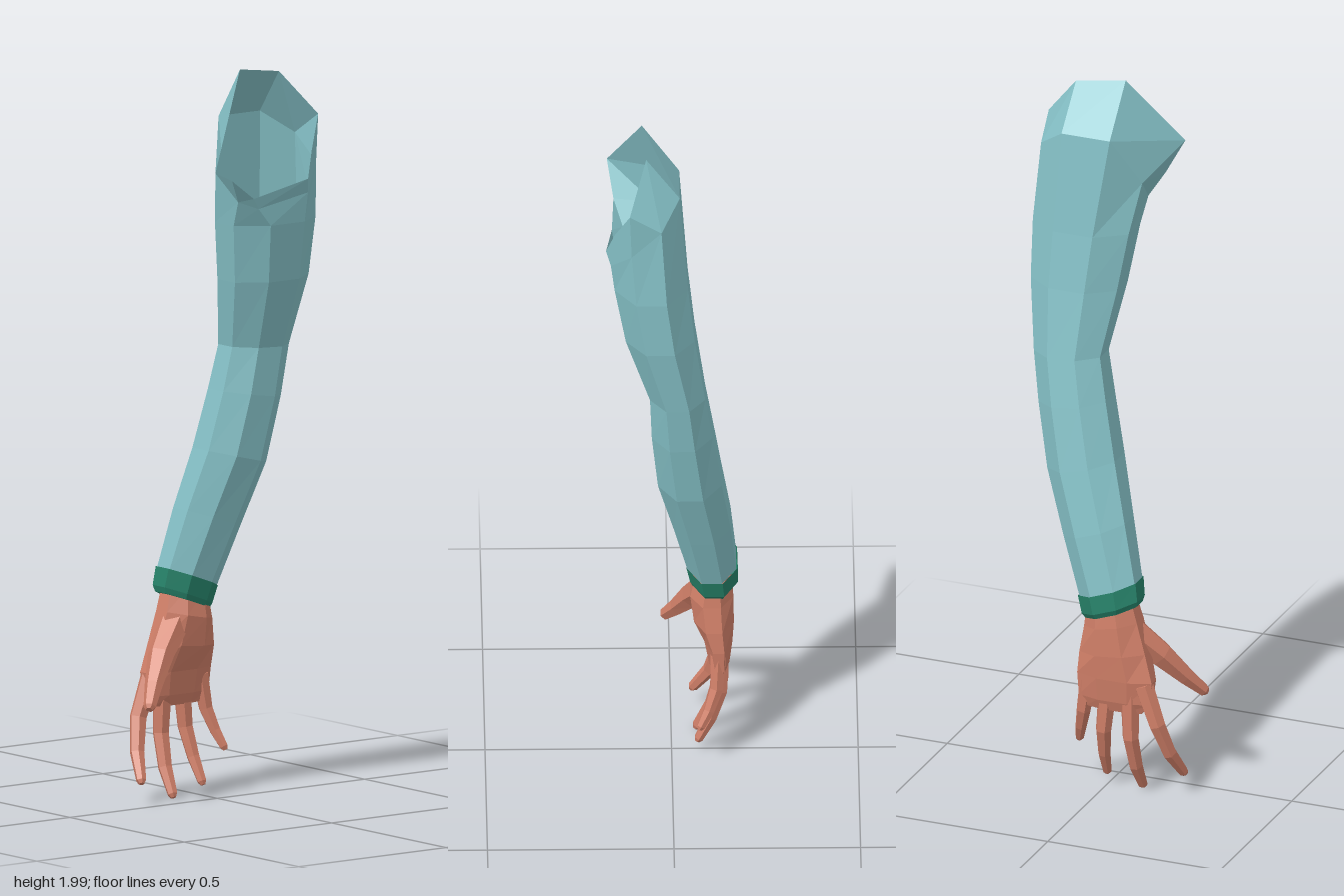
import * as THREE from 'three';

const V = (x, y, z) => new THREE.Vector3(x, y, z);
const SIDES = 8;

// Joins rings of points (listed from top to bottom) into a faceted skin
function loft(rings, capTop, capEnd) {
  const pos = [];
  const tri = (...pts) => pts.forEach(p => pos.push(p.x, p.y, p.z));
  const cap = (ring, flip) => {
    const mid = ring.reduce((s, p) => s.add(p), V(0, 0, 0)).divideScalar(ring.length);
    ring.forEach((p, j) => {
      const q = ring[(j + 1) % ring.length];
      flip ? tri(mid, q, p) : tri(mid, p, q);
    });
  };
  for (let i = 0; i < rings.length - 1; i++) {
    const n = rings[i].length;
    for (let j = 0; j < n; j++) {
      const k = (j + 1) % n;
      tri(rings[i][j], rings[i][k], rings[i + 1][k]);
      tri(rings[i][j], rings[i + 1][k], rings[i + 1][j]);
    }
  }
  if (capTop) cap(rings[0], true);
  if (capEnd) cap(rings[rings.length - 1], false);
  const g = new THREE.BufferGeometry();
  g.setAttribute('position', new THREE.Float32BufferAttribute(pos, 3));
  g.computeVertexNormals();
  return g;
}

// Level ring from its x and z extents; tilt raises the +z side
function ring(y, x0, x1, z0, z1, tilt = 0) {
  const out = [], k = 0.5 / Math.cos(Math.PI / SIDES);
  for (let j = 0; j < SIDES; j++) {
    const a = (j + 0.5) / SIDES * Math.PI * 2;
    const dz = Math.sin(a) * (z1 - z0) * k;
    out.push(V((x0 + x1) / 2 + Math.cos(a) * (x1 - x0) * k, y + dz * tilt, (z0 + z1) / 2 + dz));
  }
  return out;
}

// Finger: tapering tube along joints [x, y, z, radius] with a blunt tip
function finger(joints) {
  const pts = joints.map(p => V(p[0], p[1], p[2]));
  const n = pts.length, rings = [];
  const addRing = (c, t, r) => {
    const u = V(1, 0, 0).addScaledVector(t, -t.x).normalize();
    const v = t.clone().cross(u);
    rings.push(Array.from({ length: 6 }, (_, j) => {
      const a = (j + 0.5) / 6 * Math.PI * 2;
      return c.clone().addScaledVector(u, Math.cos(a) * r).addScaledVector(v, Math.sin(a) * r);
    }));
  };
  pts.forEach((p, i) => {
    const t = pts[Math.min(i + 1, n - 1)].clone().sub(pts[Math.max(i - 1, 0)]).normalize();
    addRing(p, t, joints[i][3]);
    if (i === n - 1) addRing(p.clone().addScaledVector(t, 0.01), t, joints[i][3] * 0.55);
  });
  return loft(rings, true, true);
}

export function createModel() {
  const model = new THREE.Group();
  const material = (name, color, side = THREE.FrontSide) => {
    const m = new THREE.MeshStandardMaterial({ color, side, flatShading: true });
    m.name = name;
    return m;
  };
  const cloth = material('paleTealCloth', 0x86c2c8, THREE.DoubleSide);
  const trim = material('darkGreenTrim', 0x27836a, THREE.DoubleSide);
  const skin = material('skin', 0xd07f68);
  const add = (name, geometry, mat, parent = model) => {
    const mesh = new THREE.Mesh(geometry, mat);
    mesh.name = name;
    parent.add(mesh);
  };

  // Sleeve with an open shoulder: slanted rim, shoulder ring, then the arm
  const rim = [
    V(0.16, 1.66, 0.0), V(0.155, 1.715, 0.07), V(0.172, 1.81, 0.12), V(0.08, 2.0, -0.015),
    V(0.07, 1.98, -0.155), V(0.115, 1.86, -0.253), V(0.155, 1.77, -0.2), V(0.178, 1.7, -0.17),
  ];
  const shoulder = [
    V(0.155, 1.63, -0.02), V(0.13, 1.65, 0.03), V(0.05, 1.72, 0.045), V(-0.02, 1.86, -0.02),
    V(-0.02, 1.86, -0.16), V(0.03, 1.8, -0.24), V(0.11, 1.73, -0.25), V(0.165, 1.66, -0.18),
  ];
  const sleeve = [
    rim, shoulder,
    ring(1.58, -0.042, 0.155, -0.258, 0.02),
    ring(1.42, -0.06, 0.125, -0.255, -0.005),
    ring(1.23, -0.088, 0.06, -0.23, -0.038, 0.05),
    ring(1.1, -0.108, 0.055, -0.21, -0.015, 0.15),
    ring(0.93, -0.133, 0.038, -0.175, 0.02, 0.25),
    ring(0.76, -0.158, -0.005, -0.115, 0.062, 0.35),
    ring(0.6, -0.173, -0.042, -0.06, 0.1, 0.37),
  ];
  add('sleeve', loft(sleeve), cloth);

  // Cuff with a turned-in lower edge
  add('cuff', loft([
    ring(0.603, -0.176, -0.04, -0.064, 0.103, 0.37),
    ring(0.553, -0.178, -0.05, -0.051, 0.11, 0.37),
    ring(0.538, -0.17, -0.056, -0.042, 0.105, 0.37),
  ], false, true), trim);

  // Hand, palm turned inwards
  const hand = new THREE.Group();
  hand.name = 'hand';
  model.add(hand);
  add('palm', loft([
    ring(0.57, -0.158, -0.065, -0.04, 0.085, 0.3),
    ring(0.5, -0.165, -0.05, -0.048, 0.105, 0.2),
    ring(0.42, -0.167, -0.06, -0.06, 0.13, 0.1),
    ring(0.35, -0.163, -0.088, -0.064, 0.152),
    ring(0.285, -0.155, -0.1, -0.06, 0.145),
    ring(0.255, -0.145, -0.11, -0.04, 0.12),
  ], true, true), skin, hand);

  const fingers = {
    thumb: [[-0.1, 0.48, 0.07, 0.045], [-0.06, 0.405, 0.145, 0.036],
      [-0.02, 0.335, 0.2, 0.025], [0.014, 0.285, 0.24, 0.017]],
    indexFinger: [[-0.13, 0.34, 0.125, 0.028], [-0.133, 0.23, 0.165, 0.024],
      [-0.105, 0.14, 0.19, 0.02], [-0.06, 0.072, 0.211, 0.014]],
    middleFinger: [[-0.13, 0.31, 0.085, 0.028], [-0.133, 0.18, 0.088, 0.023],
      [-0.108, 0.09, 0.093, 0.02], [-0.07, 0.022, 0.097, 0.014]],
    ringFinger: [[-0.13, 0.31, 0.02, 0.026], [-0.13, 0.19, 0.008, 0.022],
      [-0.105, 0.11, 0, 0.018], [-0.073, 0.046, -0.005, 0.013]],
    littleFinger: [[-0.125, 0.33, -0.038, 0.024], [-0.12, 0.235, -0.054, 0.02],
      [-0.1, 0.175, -0.07, 0.016], [-0.078, 0.132, -0.083, 0.012]],
  };
  for (const [name, joints] of Object.entries(fingers)) add(name, finger(joints), skin, hand);

  return model;
}
